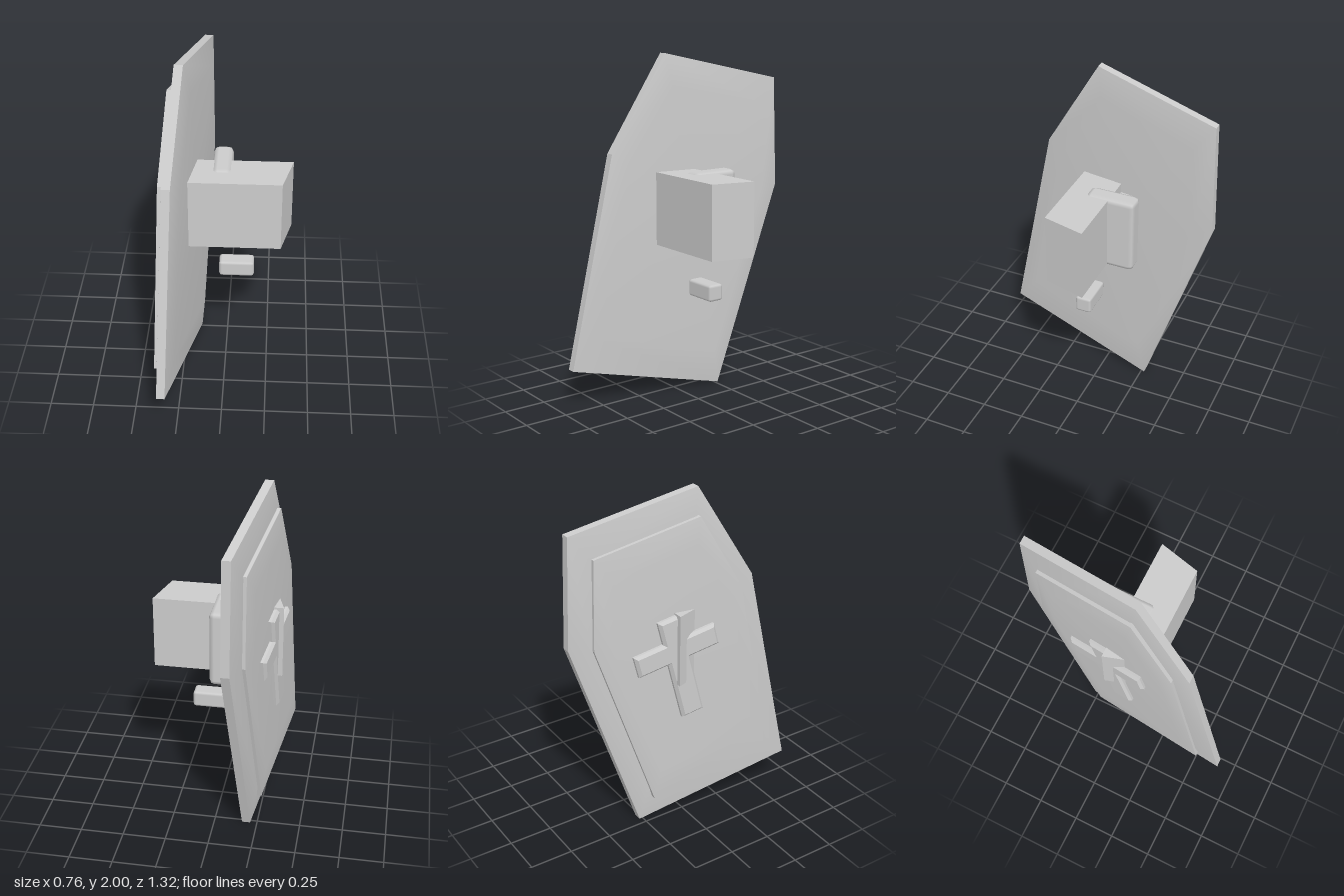
import * as THREE from 'three';
import { mergeGeometries } from 'three/addons/utils/BufferGeometryUtils.js';
import { RoundedBoxGeometry } from 'three/addons/geometries/RoundedBoxGeometry.js';

const stone = new THREE.MeshStandardMaterial({ color: 0xcccccc });
stone.name = 'plain grey';

// Maps plate space (along z, up, outwards to -x) to the turned shield plane
const plateFrame = new THREE.Matrix4().set(
  -0.16, 0, -1, -0.205,
  0, 1, 0, 0,
  1, 0, 0, 0,
  0, 0, 0, 1
);

function part(name, geometry, parent) {
  const mesh = new THREE.Mesh(geometry, stone);
  mesh.name = name;
  parent.add(mesh);
  return mesh;
}

function indexed(points, index) {
  const g = new THREE.BufferGeometry();
  g.setAttribute('position', new THREE.Float32BufferAttribute(points.flat(), 3));
  g.setIndex(index);
  return g;
}

// Convex plate whose two faces rise smoothly from a hard rim
function domedPlate(outline, w0, w1, bulge, shrink) {
  const n = outline.length;
  const cs = outline.reduce((a, p) => a + p[0], 0) / n;
  const ct = outline.reduce((a, p) => a + p[1], 0) / n;
  const loop = (k, w) => outline.map(([s, t]) => [cs + (s - cs) * k, ct + (t - ct) * k, w]);

  const face = (w, rise, outward) => {
    const pts = [...loop(1, w), ...loop(shrink, w + rise), [cs, ct, w + rise]];
    const index = [];
    const tri = (a, b, c) => index.push(...(outward ? [a, b, c] : [a, c, b]));
    for (let i = 0; i < n; i++) {
      const j = (i + 1) % n;
      tri(i, j, n + j);
      tri(i, n + j, n + i);
      tri(n + i, n + j, 2 * n);
    }
    return indexed(pts, index).toNonIndexed === undefined ? null : indexed(pts, index);
  };

  const rimIndex = [];
  for (let i = 0; i < n; i++) {
    const j = (i + 1) % n;
    rimIndex.push(i, j, n + j, i, n + j, n + i);
  }
  const rim = indexed([...loop(1, w0), ...loop(1, w1)], rimIndex).toNonIndexed();
  const pieces = [face(w0, -bulge, false), face(w1, bulge, true), rim].map((g) => {
    g.applyMatrix4(plateFrame);
    g.computeVertexNormals();
    return g.index ? g.toNonIndexed() : g;
  });
  return mergeGeometries(pieces);
}

// Cross in plate space, leaning with the shield
function crossGeometry() {
  const a = 0.05, top = 0.19, bottom = -0.41, arm = 0.225;
  const pts = [
    [-a, bottom], [a, bottom], [a, -a], [arm, -a], [arm, a], [a, a],
    [a, top], [-a, top], [-a, a], [-arm, a], [-arm, -a], [-a, -a],
  ].map(([x, y]) => new THREE.Vector2(x, y));
  const g = new THREE.ExtrudeGeometry(new THREE.Shape(pts), {
    depth: 0.04, bevelEnabled: true, bevelSize: 0.015, bevelThickness: 0.015, bevelSegments: 1,
  });
  g.rotateZ(0.235);
  g.translate(-0.09, 1.115, 0.085);
  return g.applyMatrix4(plateFrame);
}

// Chamfered box given by its limits
function softBox(name, [x0, x1], [y0, y1], [z0, z1], radius, parent) {
  const mesh = part(name, new RoundedBoxGeometry(x1 - x0, y1 - y0, z1 - z0, 1, radius), parent);
  mesh.position.set((x0 + x1) / 2, (y0 + y1) / 2, (z0 + z1) / 2);
}

export function createModel() {
  const model = new THREE.Group();
  model.name = 'shield';

  // Leaning six-sided shield and its raised outer panel
  const body = [[0.07, 2], [-0.64, 1.84], [-0.66, 1.2], [-0.27, 0], [0.66, 0.22], [0.4, 1.45]];
  const panel = [[0.06, 1.85], [-0.53, 1.71], [-0.54, 1.19], [-0.2, 0.15], [0.52, 0.32], [0.31, 1.41]];
  part('shieldBody', domedPlate(body, 0, 0.048, 0.027, 0.8), model);
  part('raisedPanel', domedPlate(panel, 0.045, 0.092, 0.018, 0.8), model);
  part('cross', crossGeometry(), model);

  // Forearm block with slanted ends
  const plan = [[-0.28, -0.148], [0.315, -0.148], [0.375, 0.095], [-0.355, 0.095]];
  const block = new THREE.ExtrudeGeometry(
    new THREE.Shape(plan.map(([x, y]) => new THREE.Vector2(x, y))),
    { depth: 0.423, bevelEnabled: false }
  );
  block.rotateX(-Math.PI / 2);
  block.translate(0, 0.912, 0);
  part('armBlock', block, model);

  // Strap around the block, its mount and the separate grip
  softBox('armStrap', [-0.075, 0.035], [0.9, 1.345], [-0.248, 0.04], 0.028, model);
  softBox('strapMount', [-0.26, -0.04], [0.97, 1.28], [-0.2, 0], 0.02, model);
  softBox('handGrip', [-0.037, 0.165], [0.63, 0.727], [-0.05, 0.045], 0.016, model);

  return model;
}
